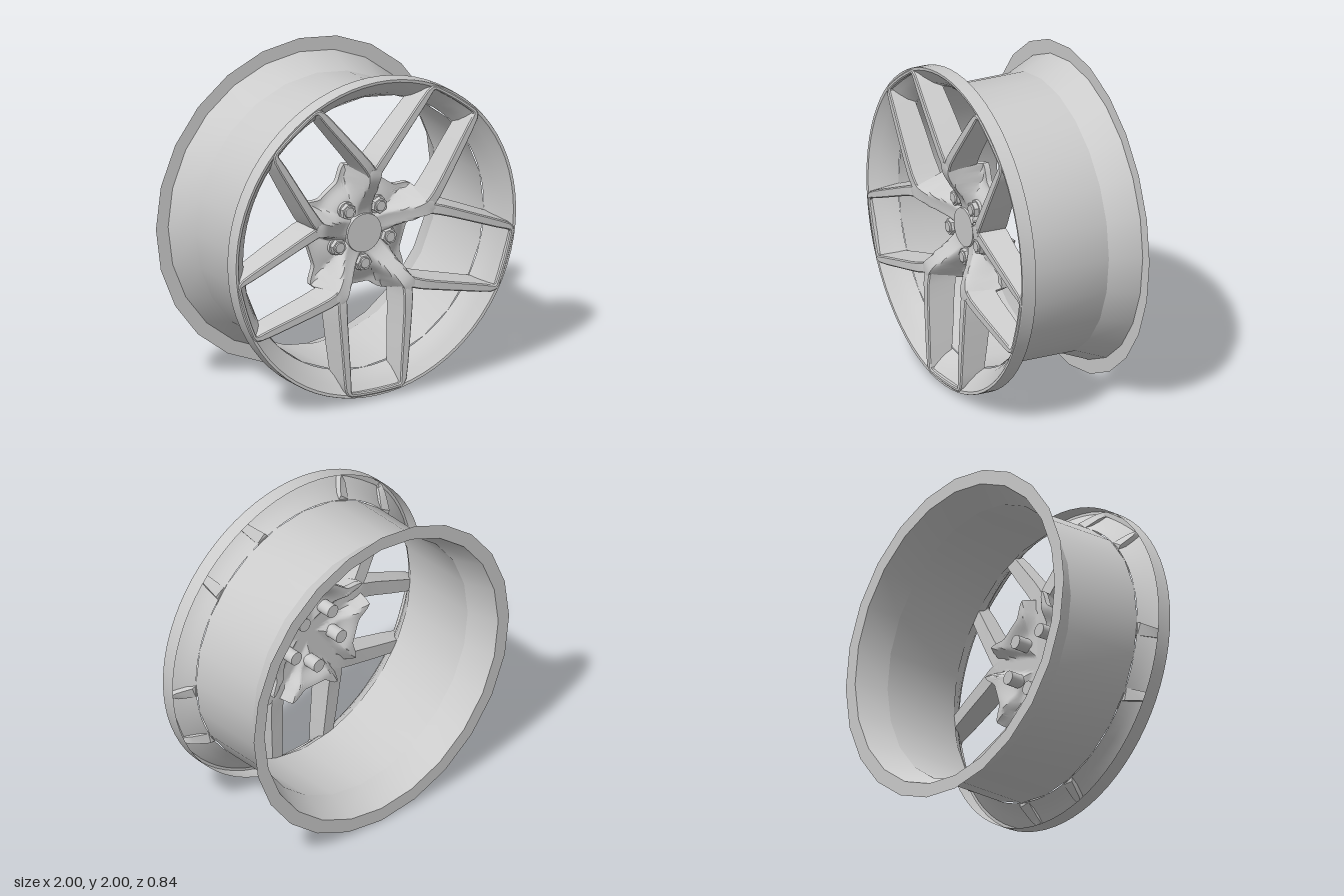
import * as THREE from 'three';
import { toCreasedNormals } from 'three/addons/utils/BufferGeometryUtils.js';

const mat = new THREE.MeshStandardMaterial({ color: 0xcccccc });
const thin = new THREE.MeshStandardMaterial({ color: 0xcccccc, side: THREE.DoubleSide });
const { smoothstep, lerp } = THREE.MathUtils;
const STEP = Math.PI * 2 / 5;

function mesh(name, geometry, material = mat) {
  const m = new THREE.Mesh(geometry, material);
  m.name = name;
  return m;
}

// Skin through rows of points; every row is a closed loop
function skin(rows, crease) {
  const n = rows[0].length, index = [];
  for (let i = 0; i < rows.length - 1; i++) {
    for (let j = 0; j < n; j++) {
      const k = (j + 1) % n;
      const a = i * n + j, b = i * n + k, c = b + n, d = a + n;
      index.push(a, b, c, a, c, d);
    }
  }
  const g = new THREE.BufferGeometry();
  g.setAttribute('position', new THREE.Float32BufferAttribute(rows.flat(2), 3));
  g.setIndex(index);
  return toCreasedNormals(g, crease);
}

// Lathe around the z axis, profile given as [radius, z]
function turned(name, profile, segments) {
  const g = new THREE.LatheGeometry(profile.map(p => new THREE.Vector2(...p)), segments);
  g.rotateX(Math.PI / 2);
  return mesh(name, toCreasedNormals(g, 0.33), thin);
}

// Cylinder along z between two depths
function rod(name, r0, r1, z0, z1, sides) {
  const g = new THREE.CylinderGeometry(r1, r0, z1 - z0, sides);
  g.rotateX(Math.PI / 2).translate(0, 0, (z0 + z1) / 2);
  return mesh(name, toCreasedNormals(g, 0.6));
}

// U-shaped frame: two spokes joined by a bar along the rim.
// Each station: [outward, sideways, front half width, back half width, front z, back z]
function spokeFrameGeometry() {
  const arm = [
    [0.29, 0.212, 0.030, 0.036, 0.395, 0.235],
    [0.35, 0.227, 0.032, 0.045, 0.408, 0.235],
    [0.41, 0.228, 0.031, 0.046, 0.414, 0.24],
    [0.50, 0.223, 0.029, 0.045, 0.416, 0.25],
    [0.66, 0.211, 0.027, 0.042, 0.417, 0.26],
    [0.83, 0.198, 0.025, 0.038, 0.417, 0.275],
    [0.905, 0.192, 0.021, 0.028, 0.416, 0.345],
    [0.932, 0.183, 0.016, 0.018, 0.416, 0.375],
    [0.943, 0.165, 0.013, 0.014, 0.415, 0.385],
    [0.948, 0.10, 0.013, 0.014, 0.415, 0.385],
  ];
  const path = [
    ...arm.map(([u, v, ...s]) => [u, -v, ...s]),
    [0.951, 0, 0.013, 0.014, 0.415, 0.385],
    ...[...arm].reverse(),
  ];
  const rows = path.map(([u, v, hf, hb, zf, zb], i) => {
    const p = path[Math.max(i - 1, 0)], q = path[Math.min(i + 1, path.length - 1)];
    const len = Math.hypot(q[0] - p[0], q[1] - p[1]);
    const nx = -(q[1] - p[1]) / len, ny = (q[0] - p[0]) / len;
    const e = 0.007;
    return [[-hb, zb], [hb, zb], [hf, zf - e], [hf - e, zf], [e - hf, zf], [-hf, zf - e]]
      .map(([w, z]) => [u + nx * w, v + ny * w, z]);
  });
  return skin(rows, 0.6);
}

// Hub: dished star with five raised ridges and five bolt pockets between them
function hubGeometry() {
  const cols = 120, rings = 22, front = [], back = [];
  for (let i = 0; i <= rings; i++) {
    const f = [], b = [];
    for (let j = 0; j < cols; j++) {
      const a = -j / cols * Math.PI * 2;
      const phi = Math.abs(a - Math.round(a / STEP) * STEP);
      const edge = Math.min(0.335 / Math.cos(phi) + 0.07 * smoothstep(phi, 0.2, 0.44), 0.43);
      const r = Math.max(i / rings, 0.001) * edge;
      const ridge = 1 - smoothstep(r * Math.sin(STEP / 2 - phi), 0.04, 0.085);
      const floor = 0.25 - 0.05 * smoothstep(r, 0.22, 0.335);
      const top = 0.27 + 0.14 * smoothstep(r, 0.1, 0.4);
      const x = r * Math.cos(a), y = r * Math.sin(a);
      f.push([x, y, lerp(floor, top, ridge)]);
      b.push([x, y, lerp(floor - 0.035, 0.24, ridge)]);
    }
    front.push(f);
    back.unshift(b);
  }
  return skin([...front, ...back], 0.6);
}

export function createModel() {
  const model = new THREE.Group();
  model.name = 'wheel';

  // Barrel with flared rear and flat rear flange
  model.add(turned('barrel', [[1.0, -0.42], [0.915, -0.42], [0.84, -0.235], [0.84, 0.27]], 24));

  // Front rim: sloping inner dish, lip and outer band
  model.add(turned('frontRim', [
    [0.84, 0.27], [0.868, 0.32], [0.91, 0.365], [0.945, 0.395],
    [0.958, 0.408], [0.975, 0.41], [0.977, 0.405], [0.977, 0.32],
  ], 72));

  model.add(mesh('hub', hubGeometry()));
  model.add(rod('centreCap', 0.122, 0.118, 0.25, 0.285, 40));

  // Five spoke frames, each with a wheel bolt on its axis
  const frameGeo = spokeFrameGeometry();
  for (let k = 0; k < 5; k++) {
    const sector = new THREE.Group();
    sector.name = 'spokeSector';
    sector.rotation.z = -Math.PI / 2 + k * STEP;
    sector.add(mesh('spokeFrame', frameGeo));

    const bolt = new THREE.Group();
    bolt.name = 'wheelBolt';
    bolt.position.x = 0.185;
    bolt.add(
      rod('boltShank', 0.042, 0.042, 0.13, 0.25, 20),
      rod('boltCollar', 0.058, 0.054, 0.24, 0.262, 24),
      rod('boltHead', 0.05, 0.048, 0.255, 0.29, 6),
      rod('boltTip', 0.036, 0.03, 0.285, 0.298, 20),
    );
    sector.add(bolt);
    model.add(sector);
  }

  // Hub ridges fall midway between the frames
  model.getObjectByName('hub').rotation.z = -Math.PI / 2;
  model.position.y = 1;

  const root = new THREE.Group();
  root.name = 'wheelRoot';
  root.add(model);
  return root;
}
